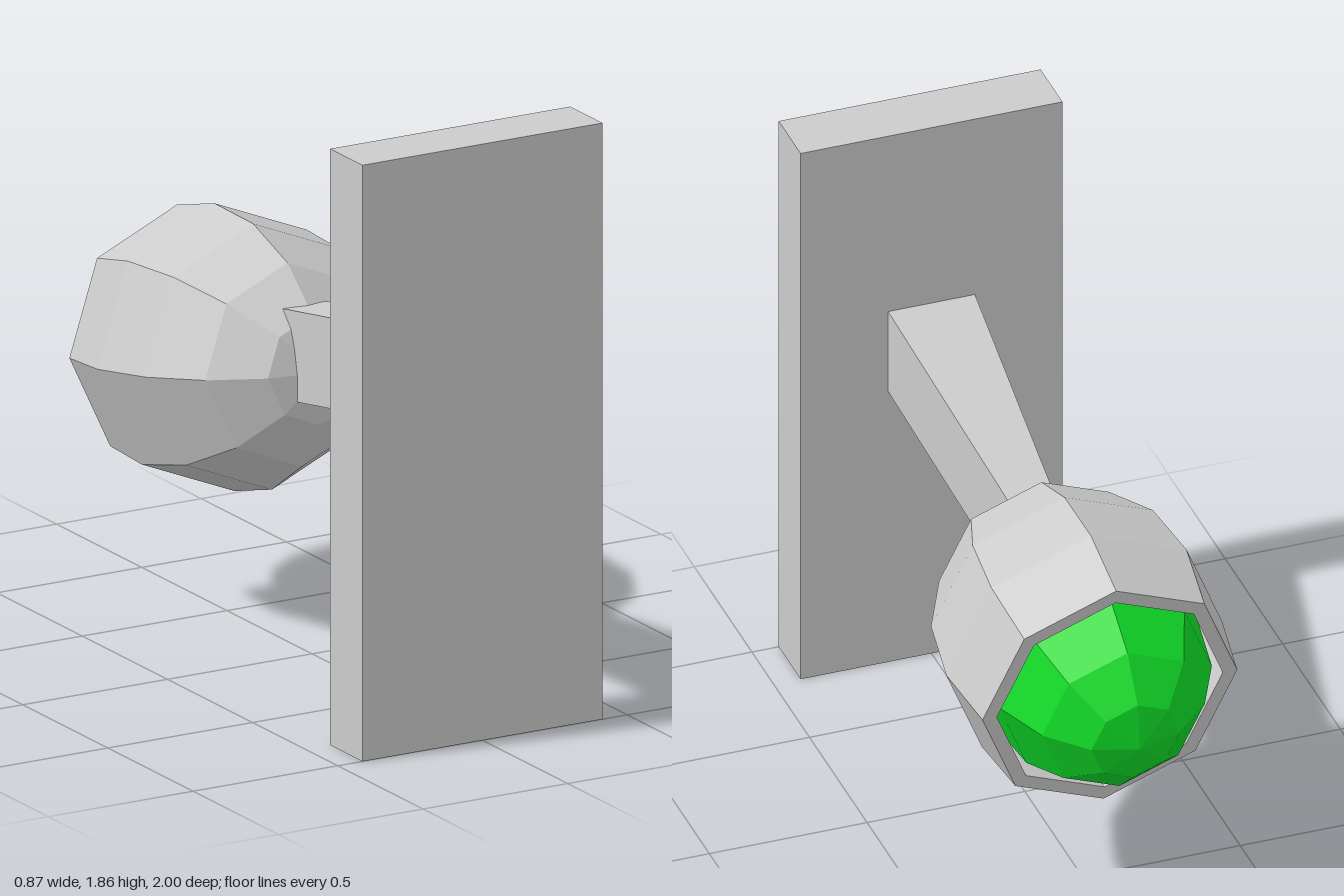
import * as THREE from 'three';

const grey = new THREE.MeshStandardMaterial({ color: 0xcccccc, flatShading: true });
const green = new THREE.MeshStandardMaterial({ color: 0x10dd28, flatShading: true });

// Profile of a half ellipse from its rear pole towards the front, in steps of 22.5 degrees
function ellipseProfile(radius, length, steps) {
  const points = [];
  for (let i = 0; i <= steps; i++) {
    const a = (i * Math.PI) / 8;
    points.push(new THREE.Vector2(i % 8 ? radius * Math.sin(a) : 0, -length * Math.cos(a)));
  }
  return points;
}

function addMesh(parent, name, geometry, material) {
  const mesh = new THREE.Mesh(geometry, material);
  mesh.name = name;
  parent.add(mesh);
  return mesh;
}

export function createModel() {
  const model = new THREE.Group();
  model.name = 'wallLamp';

  // Wall plate
  addMesh(model, 'wallPlate', new THREE.BoxGeometry(0.83, 1.86, 0.19), grey)
    .position.set(0, 0.93, 0.905);

  // Sloping arm, narrowing towards the head
  const zPlate = 0.81, zHead = -0.08;
  const arm = new THREE.BoxGeometry(1, 0.283, 1);
  const p = arm.attributes.position;
  for (let i = 0; i < p.count; i++) {
    const atPlate = p.getZ(i) > 0;
    p.setXYZ(i,
      p.getX(i) * (atPlate ? 0.275 : 0.14),
      p.getY(i) + (atPlate ? 1.098 : 0.928),
      atPlate ? zPlate : zHead);
  }
  arm.computeVertexNormals();
  addMesh(model, 'arm', arm, grey);

  // Head, tilted slightly downwards; its local y axis points out of the opening
  const head = new THREE.Group();
  head.name = 'head';
  head.position.set(0, 0.818, -0.515);
  head.rotation.x = -(Math.PI / 2 + 0.136);
  model.add(head);

  // Hollow shell: outer wall, rim, then the inner wall back to the rear
  const outer = ellipseProfile(0.437, 0.59, 5);
  const inner = ellipseProfile(0.39, 0.54, 5).reverse();
  inner[0].set(0.358, outer[5].y);
  addMesh(head, 'shell', new THREE.LatheGeometry([...outer, ...inner], 8), grey);

  // Bulb
  addMesh(head, 'bulb', new THREE.LatheGeometry(ellipseProfile(0.365, 0.488, 8), 8), green);

  return model;
}
